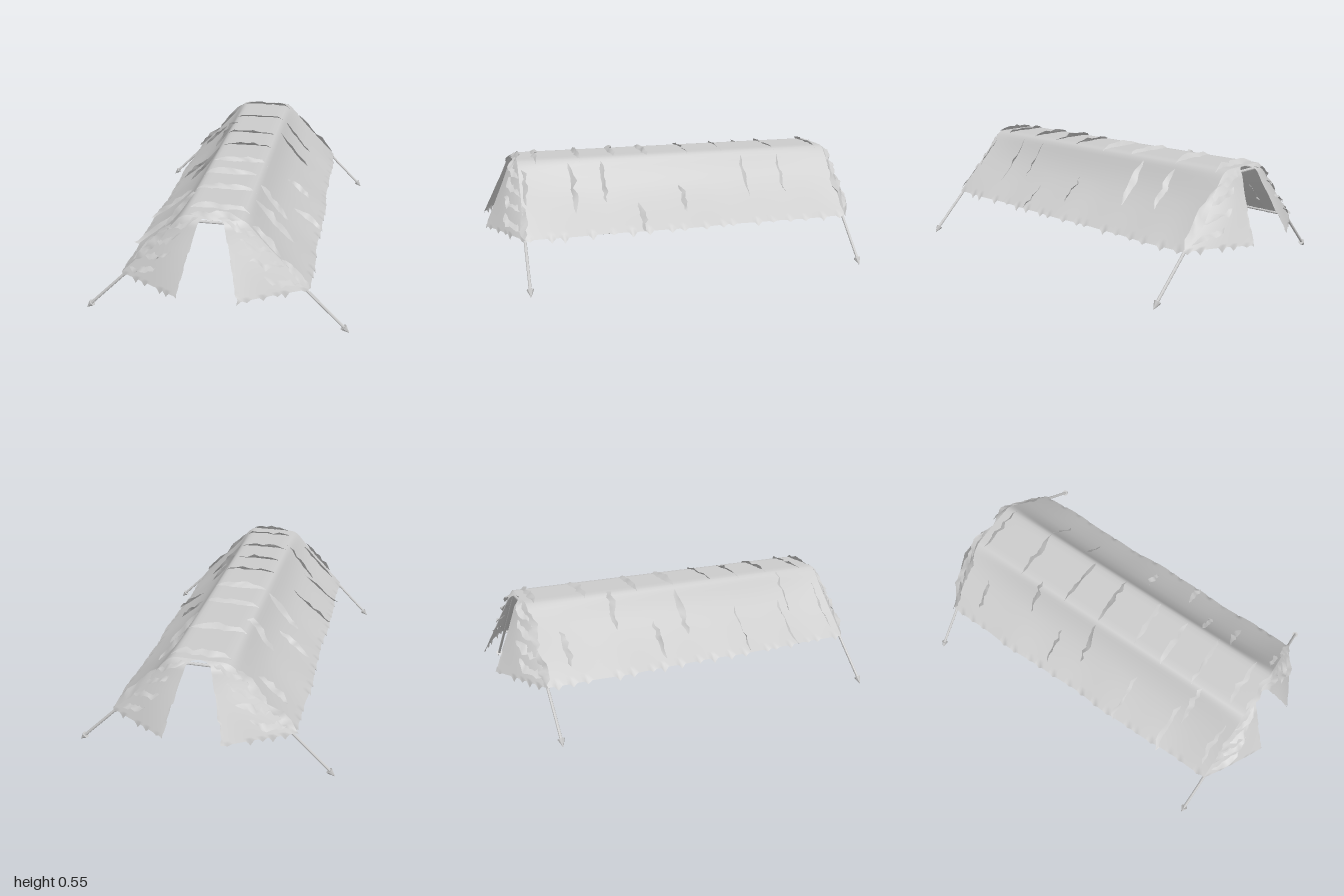
import * as THREE from 'three';

const EAVE = 0.43, RIDGE = 0.14, END = 0.82;
const cloth = new THREE.MeshStandardMaterial({ color: 0xcccccc, side: THREE.DoubleSide });
const wood = new THREE.MeshStandardMaterial({ color: 0xcccccc, flatShading: true });
const lerp = THREE.MathUtils.lerp;

// Repeatable 0..1 value from a number
const rnd = (n) => { const s = Math.sin(n * 12.9898 + 4.1) * 43758.5453; return s - Math.floor(s); };

// Half cross-section of the taut cover: flat top, rounded shoulder, straight side
const section = [[0, 0.53], [0.1, 0.53], [0.13, 0.526], [0.155, 0.509], [0.18, 0.48], [0.21, 0.444], [0.25, 0.399], [0.3, 0.346], [0.37, 0.274], [EAVE, 0.213]];
function height(x) {
  const a = Math.min(Math.abs(x), EAVE);
  let i = 1;
  while (i < section.length - 1 && section[i][0] < a) i++;
  const [p, q] = [section[i - 1], section[i]];
  return lerp(p[1], q[1], (a - p[0]) / (q[0] - p[0]));
}

// Cover surface: the sides sag inward between the end frames
function coverAt(x, z) {
  const side = THREE.MathUtils.clamp((Math.abs(x) - RIDGE) / (EAVE - RIDGE), 0, 1);
  const sag = 0.024 * Math.sin(Math.PI * Math.pow(side, 0.8)) * (1 - Math.pow(Math.min(1, Math.abs(z) / END), 4));
  return [x - Math.sign(x) * sag * 0.7, height(x) - sag * 0.7, z];
}

// Ragged hem: one pointed tooth per group of steps, of varying length
function tooth(n, seed, step) {
  const k = Math.floor(n / step), peak = 1 + Math.floor(rnd(k + seed) * (step - 2));
  return Math.max(0, 1 - Math.abs((n % step) - peak) / 1.8) * (0.008 + 0.02 * rnd(k * 2.7 + seed));
}

// Grid surface from a rule point(u, v, i, j)
function sheet(nu, nv, point) {
  const pos = [], idx = [];
  for (let j = 0; j <= nv; j++) for (let i = 0; i <= nu; i++) {
    pos.push(...point(i / nu, j / nv, i, j));
    if (i < nu && j < nv) {
      const a = j * (nu + 1) + i, b = a + nu + 1;
      idx.push(a, b, a + 1, a + 1, b, b + 1);
    }
  }
  const g = new THREE.BufferGeometry();
  g.setAttribute('position', new THREE.Float32BufferAttribute(pos, 3));
  g.setIndex(idx);
  g.computeVertexNormals();
  return g;
}

function add(parent, name, geometry, material) {
  const m = new THREE.Mesh(geometry, material);
  m.name = name;
  parent.add(m);
  return m;
}

// Round bar between two points
function bar(parent, name, a, b, r, r2 = r) {
  const A = new THREE.Vector3(...a), B = new THREE.Vector3(...b);
  const d = B.clone().sub(A);
  const m = add(parent, name, new THREE.CylinderGeometry(r2, r, d.length(), 8), wood);
  m.position.copy(A).add(B).multiplyScalar(0.5);
  m.quaternion.setFromUnitVectors(new THREE.Vector3(0, 1, 0), d.normalize());
}

// Point on the long cover, with a wavy toothed hem
function coverPoint(u, v, i, j, nu) {
  const z = lerp(-END, END, v), x = lerp(-EAVE, EAVE, u), s = Math.sign(x);
  const low = THREE.MathUtils.clamp((Math.abs(x) - 0.25) / 0.18, 0, 1);
  const calm = 1 - Math.pow(Math.abs(z) / END, 6);
  const wave = 0.005 * low * calm * (1 + Math.sin(z * 9 + s) + 0.5 * Math.sin(z * 21 + 2 * s));
  const drop = i === 0 || i === nu ? tooth(j, 7 + s * 3, 9) : 0;
  const p = coverAt(x, z);
  return [p[0] + s * (wave + drop * 0.2), p[1] - drop, z];
}

// Point on an end flap: u from the side to the opening, v from the roof edge to the hem
function flapPoint(sx, sz, u, v, drop = 0) {
  const ox = lerp(RIDGE, EAVE, v), arch = Math.sqrt(Math.min(1, v / 0.08));
  const ix = 0.045 * arch + 0.09 * Math.pow(v, 0.85), iy = lerp(0.53, 0.213, v);
  const ragged = u > 0.99 ? 0.014 * v * (rnd(Math.floor(v * 14) + sx + 2 * sz) - 0.5) : 0;
  const x = lerp(ox, ix, u), flat = lerp(height(ox), iy, u);
  const reach = 0.022 * Math.min(1, v * 9) + 0.145 * v;
  const bulge = 0.008 * Math.sin(Math.PI * u) * Math.sin(Math.PI * v);
  return [
    sx * (x + ragged),
    lerp(flat, height(x), Math.pow(1 - v, 12)) + 0.006 * Math.sin(Math.PI * u) * v - drop,
    sz * (END + reach * Math.pow(u, 0.88) + bulge),
  ];
}

// Torn strip: pointed jagged lens of cloth, tilted so it cuts through the surface
function tatter(parent, base, normal, across, seed) {
  const n = 8;
  add(parent, 'tornStrip', sheet(n, 2, (u, v, i, j) => {
    const p = base(u);
    const taper = Math.pow(Math.sin(Math.PI * u), 0.6);
    const w = taper * (0.3 + 0.9 * rnd(i * 3.1 + j * 5.7 + seed)) * 0.022 * (v - 0.5) * 2;
    const shift = 0.016 * (rnd(i * 2.3 + seed * 1.7) - 0.5);
    const lift = 0.002 + taper * (v - 0.4) * 0.034 * (0.5 + 0.7 * rnd(i + seed));
    return p.map((c, k) => c + across[k] * (w + shift) + normal[k] * lift);
  }), cloth);
}

export function createModel() {
  const model = new THREE.Group();
  model.name = 'tent';

  // Long cover
  const NU = 60;
  add(model, 'cover', sheet(NU, 160, (u, v, i, j) => coverPoint(u, v, i, j, NU)), cloth);

  // Four end flaps, parted in the middle
  for (const sz of [1, -1]) for (const sx of [1, -1]) {
    add(model, 'endFlap', sheet(36, 40, (u, v, i, j) =>
      flapPoint(sx, sz, u, v, j === 40 ? tooth(i, sx + 5 * sz + 9, 7) : 0)), cloth);
  }

  // Frame: cross bar, splayed legs with pointed ends, long rails
  const frame = new THREE.Group();
  frame.name = 'frame';
  model.add(frame);
  for (const z of [END, -END + 0.005]) {
    bar(frame, 'crossBar', [-0.13, 0.503, z], [0.13, 0.503, z], 0.007);
    for (const s of [1, -1]) {
      bar(frame, 'leg', [s * 0.12, 0.503, z], [s * 0.595, 0.025, z], 0.007);
      bar(frame, 'legTip', [s * 0.588, 0.03, z], [s * 0.614, 0.003, z], 0.017, 0.001);
    }
  }
  for (const s of [1, -1]) {
    bar(frame, 'ridgeRail', [s * 0.12, 0.503, -END], [s * 0.12, 0.503, END], 0.006);
    bar(frame, 'eaveRail', [s * 0.41, 0.213, -END], [s * 0.41, 0.213, END], 0.006);
  }

  // Torn strips on the cover: [x start, x end, z]
  const strips = [
    [-0.13, 0.15, -0.78], [-0.14, 0.14, -0.53], [-0.14, 0.15, -0.25], [-0.13, 0.14, -0.05], [-0.13, 0.15, 0.17],
    [-0.15, 0.12, 0.34], [-0.14, 0.15, 0.52], [-0.12, 0.15, 0.73], [-0.1, 0.13, 0.82],
    [-0.37, -0.24, -0.69], [-0.26, -0.11, -0.41], [-0.4, -0.25, -0.21], [-0.32, -0.15, -0.05], [-0.45, -0.24, 0.26],
    [-0.46, -0.24, 0.53], [-0.3, -0.12, 0.58], [-0.39, -0.2, 0.77], [-0.44, -0.3, -0.82], [-0.3, -0.16, -0.82],
    [0.16, 0.31, -0.54], [0.15, 0.32, -0.34], [0.25, 0.37, 0.02], [0.31, 0.44, 0.25], [0.15, 0.3, 0.41],
    [0.15, 0.34, 0.57], [0.17, 0.3, 0.8], [0.3, 0.43, 0.82], [0.2, 0.42, -0.82], [-0.36, -0.2, 0.83],
  ];
  strips.forEach(([x0, x1, z], k) => {
    const mid = (x0 + x1) / 2;
    const normal = Math.abs(mid) < RIDGE - 0.05 ? [0, 1, 0] : [Math.sign(mid) * 0.74, 0.67, 0];
    tatter(model, (t) => coverAt(lerp(x0, x1, t), z), normal, [0, 0, z > 0 ? -1 : 1], k * 7 + 1);
  });

  // Torn strips on the end flaps: [u start, u end, v start, v end]
  const flapStrips = [[0.0, 0.85, 0.2, 0.05], [0.0, 0.6, 0.42, 0.24], [0.05, 0.6, 0.65, 0.5], [0.05, 0.5, 0.9, 0.75]];
  for (const sz of [1, -1]) for (const sx of [1, -1]) flapStrips.forEach(([u0, u1, v0, v1], k) => {
    tatter(model, (t) => flapPoint(sx, sz, lerp(u0, u1, t), lerp(v0, v1, t)),
      [sx * 0.3, 0.4, sz * 0.85], [0, -0.9, sz * 0.4], k * 11 + sx * 3 + sz * 5 + 200);
  });

  return model;
}
